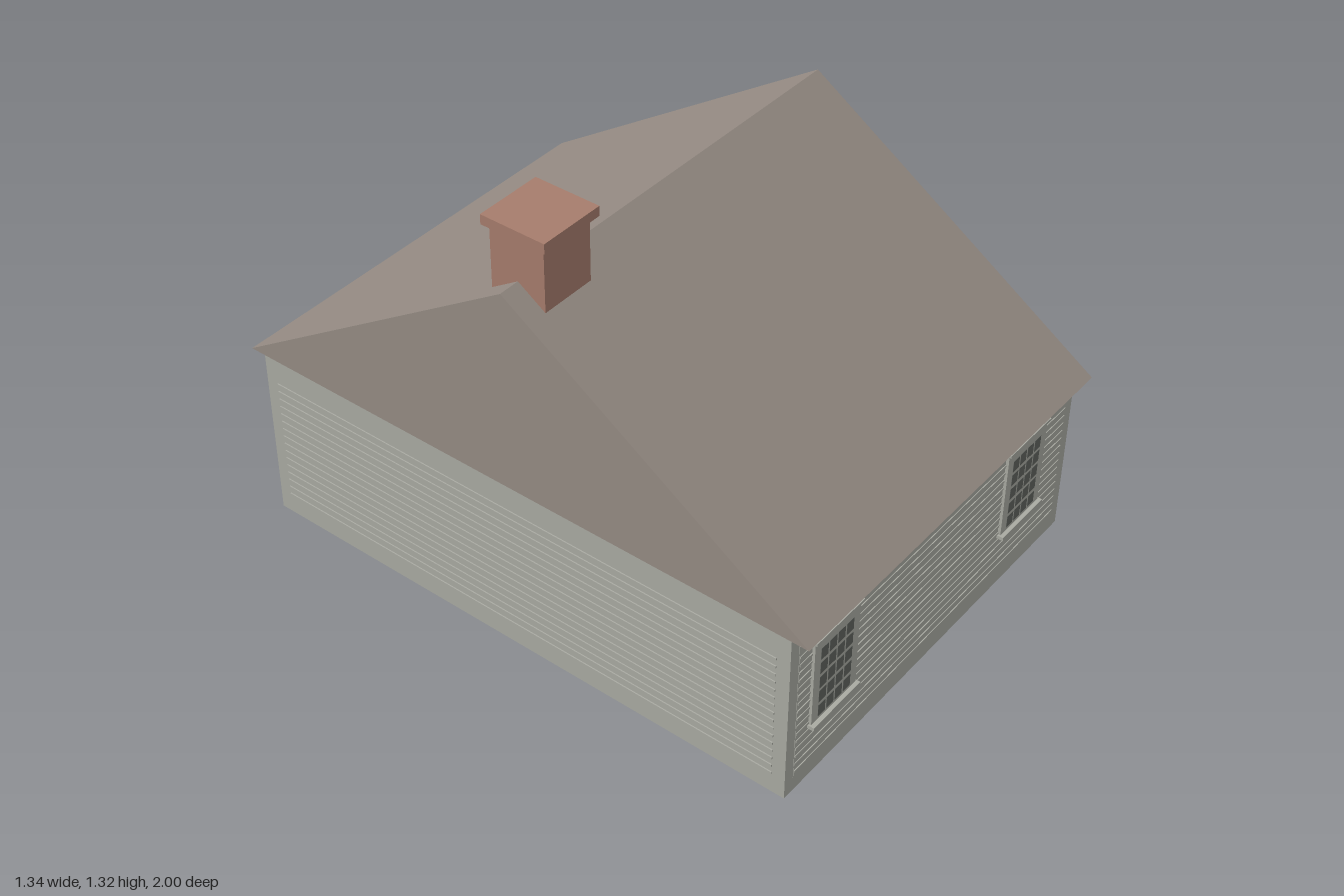
import * as THREE from 'three';

const material = (name, color) => {
  const m = new THREE.MeshStandardMaterial({ color });
  m.name = name;
  return m;
};

// House extents
const X0 = -0.665, X1 = 0.645, Z0 = -0.81, Z1 = 0.95;
const CX = (X0 + X1) / 2, CZ = (Z0 + Z1) / 2, WALL = 0.546;

export function createModel() {
  const house = new THREE.Group();
  house.name = 'house';
  const paint = material('grey paint', 0xa9aaa2);
  const shingle = material('roof brown', 0x958b83);
  const brick = material('chimney brick', 0xa67c6c);
  const glass = material('dark glass', 0x5f635e);
  const doorPaint = material('door brown', 0x8c8179);

  const add = (parent, name, geometry, mat) => {
    const mesh = new THREE.Mesh(geometry, mat);
    mesh.name = name;
    parent.add(mesh);
    return mesh;
  };
  // Box given by its lower and upper corners
  const box = (parent, name, a, b, mat) => {
    const g = new THREE.BoxGeometry(b[0] - a[0], b[1] - a[1], b[2] - a[2]);
    g.translate((a[0] + b[0]) / 2, (a[1] + b[1]) / 2, (a[2] + b[2]) / 2);
    return add(parent, name, g, mat);
  };
  // Upright rectangular tube, open above and below
  const tube = (parent, name, a, b, thick, mat) => {
    const w = (b[0] - a[0]) / 2, d = (b[2] - a[2]) / 2;
    const rect = (u, v) => [[-u, -v], [u, -v], [u, v], [-u, v]].map(p => new THREE.Vector2(...p));
    const shape = new THREE.Shape(rect(w, d));
    shape.holes.push(new THREE.Path(rect(w - thick, d - thick).reverse()));
    const g = new THREE.ExtrudeGeometry(shape, { depth: b[1] - a[1], bevelEnabled: false });
    g.rotateX(-Math.PI / 2);
    g.translate((a[0] + b[0]) / 2, a[1], (a[2] + b[2]) / 2);
    return add(parent, name, g, mat);
  };

  // Walls: a thin shell, open underneath
  tube(house, 'walls', [X0, 0, Z0], [X1, WALL, Z1], 0.005, paint);

  // Gabled roof
  const gable = new THREE.Shape();
  gable.moveTo(-0.86, 0.545);
  gable.lineTo(1.0, 0.545);
  gable.lineTo(0.07, 1.157);
  gable.closePath();
  const roof = new THREE.ExtrudeGeometry(gable, { depth: X1 - X0, bevelEnabled: false });
  roof.rotateY(-Math.PI / 2);
  roof.translate(X1, 0, 0);
  add(house, 'roof', roof, shingle);

  // Chimney: hollow shaft through the ceiling, with a cap
  tube(house, 'chimneyShaft', [-0.6, 0.47, -0.015], [-0.43, 1.29, 0.155], 0.045, brick);
  box(house, 'chimneyCap', [-0.614, 1.288, -0.03], [-0.411, 1.317, 0.17], brick);

  // Each side is built facing +z about its own middle, then turned into place
  const side = (name, x, z, turn) => {
    const g = new THREE.Group();
    g.name = name;
    g.position.set(x, 0, z);
    g.rotation.y = turn;
    house.add(g);
    return g;
  };
  const front = side('frontSide', CX, Z1, 0);
  const back = side('backSide', CX, Z0, Math.PI);
  const left = side('leftSide', X1, CZ, Math.PI / 2);
  const right = side('rightSide', X0, CZ, -Math.PI / 2);

  // Clapboard siding: narrow board edges across a wall
  const siding = (parent, half) => {
    for (let i = 0; i < 16; i++) {
      const y = 0.064 + i * 0.0264;
      box(parent, 'clapboardEdge', [-half, y, -0.001], [half, y + 0.007, 0.0035], paint);
    }
  };
  for (const s of [front, back]) {
    box(s, 'sidingPanel', [-0.62, 0.045, -0.001], [0.62, 0.502, 0.0012], paint);
    siding(s, 0.618);
  }
  for (const s of [left, right]) siding(s, 0.84);

  // Sash window with four by five panes
  const addWindow = (parent, x) => {
    const w = new THREE.Group();
    w.name = 'window';
    w.position.x = x;
    parent.add(w);
    box(w, 'windowFrame', [-0.096, 0.19, -0.001], [0.096, 0.477, 0.01], paint);
    box(w, 'windowLintel', [-0.101, 0.473, 0], [0.101, 0.481, 0.018], paint);
    box(w, 'windowSill', [-0.101, 0.184, 0], [0.101, 0.195, 0.022], paint);
    for (let c = 0; c < 4; c++) {
      for (let r = 0; r < 5; r++) {
        const px = -0.069 + c * 0.036, py = 0.205 + r * 0.0487;
        box(w, 'windowPane', [px, py, 0.009], [px + 0.03, py + 0.038, 0.0108], glass);
      }
    }
  };
  for (const s of [front, back]) {
    const flip = s === front ? 1 : -1;
    addWindow(s, flip * (-0.48 - CX));
    addWindow(s, flip * (0.4 - CX));
  }
  addWindow(left, 0);

  // Back door with casing
  const door = new THREE.Group();
  door.name = 'door';
  door.position.x = 0.105 + CX;
  back.add(door);
  box(door, 'doorPanel', [-0.096, 0.078, -0.001], [0.096, 0.455, 0.007], doorPaint);
  for (const s of [-1, 1]) {
    const a = s < 0 ? -0.118 : 0.096;
    box(door, 'doorJamb', [a, 0.06, -0.001], [a + 0.022, 0.477, 0.012], paint);
  }
  box(door, 'doorHead', [-0.118, 0.455, -0.001], [0.118, 0.477, 0.012], paint);
  box(door, 'doorLintel', [-0.124, 0.473, 0], [0.124, 0.481, 0.018], paint);

  // Back steps, hollow underneath
  const step = (name, a, b) => {
    tube(house, name, a, [b[0], b[1] - 0.01, b[2]], 0.012, paint);
    box(house, name + 'Tread', [a[0], b[1] - 0.01, a[2]], b, paint);
  };
  step('upperStep', [-0.265, 0, -0.938], [0.053, 0.08, Z0]);
  step('lowerStep', [-0.247, 0, -1.0], [0.035, 0.041, -0.938]);

  return house;
}
